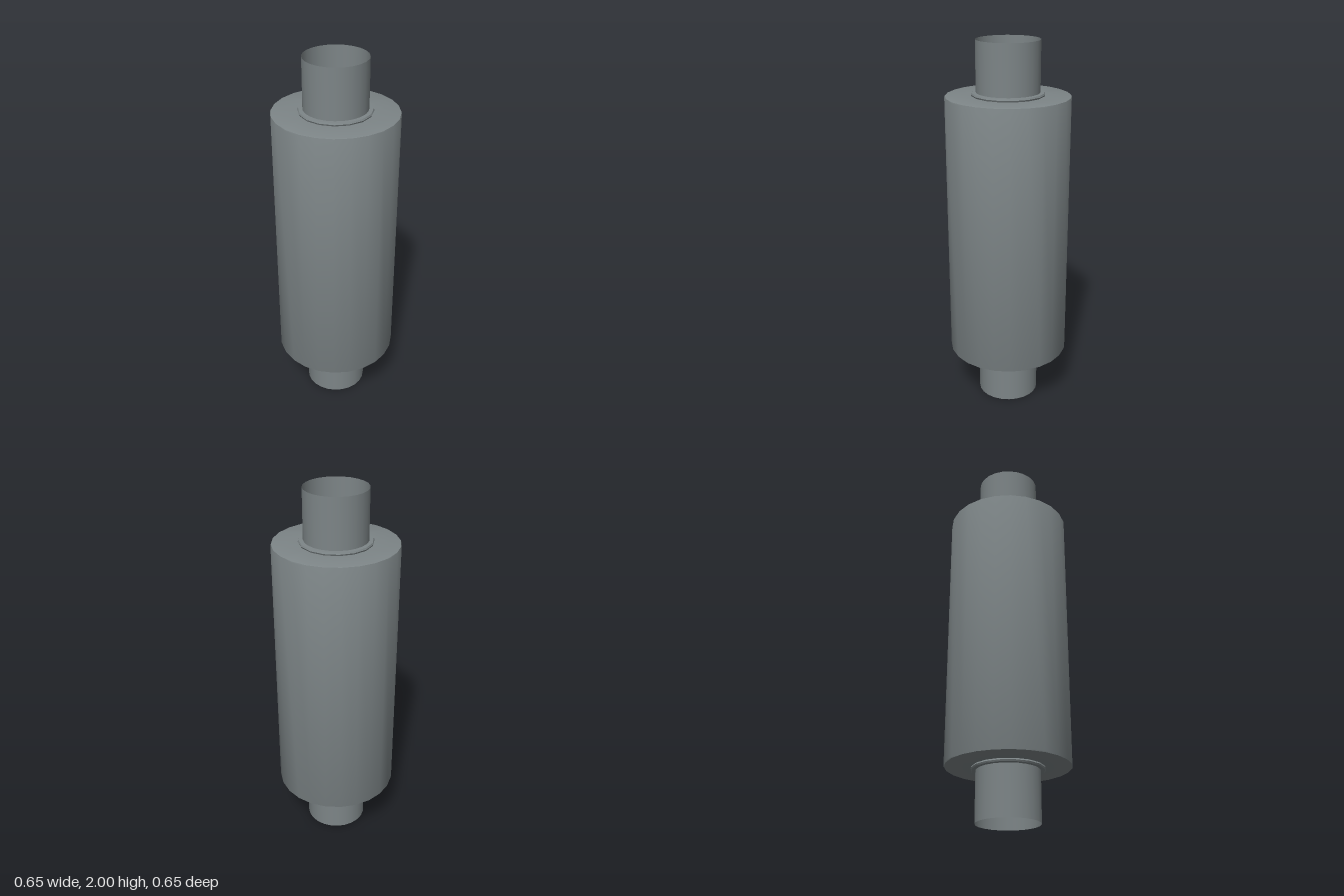
import * as THREE from 'three';
import { toCreasedNormals } from 'three/addons/utils/BufferGeometryUtils.js';

const steel = new THREE.MeshStandardMaterial({ color: 0x7d8587, side: THREE.DoubleSide });
steel.name = 'grey steel';

const PIPE_R = 0.166;
const SHELL_R = 0.327;
const MID = 1; // height of the mirror plane

// Turned part from [radius, y] pairs, running from bottom to top
function turned(name, profile, sides) {
  const points = profile.map(([r, y]) => new THREE.Vector2(r, y));
  const mesh = new THREE.Mesh(toCreasedNormals(new THREE.LatheGeometry(points, sides), 0.6), steel);
  mesh.name = name;
  return mesh;
}

export function createModel() {
  const model = new THREE.Group();
  model.name = 'muffler';

  // Open pipe running right through
  model.add(turned('pipe', [[PIPE_R, 0], [PIPE_R, 2]], 24));

  // Canister with flat ends and a small rounded rim
  model.add(turned('canister', [
    [PIPE_R, 0.281], [SHELL_R - 0.007, 0.281], [SHELL_R - 0.002, 0.283], [SHELL_R, 0.289],
    [SHELL_R, 1.711], [SHELL_R - 0.002, 1.717], [SHELL_R - 0.007, 1.719], [PIPE_R, 1.719],
  ], 24));

  // Weld bead around the pipe at each end, mirrored about the middle
  const bead = [[0.188, 1.719], [0.192, 1.727], [0.188, 1.735], [PIPE_R, 1.736]];
  model.add(turned('topCollar', bead, 16));
  model.add(turned('bottomCollar', bead.map(([r, y]) => [r, 2 * MID - y]).reverse(), 16));

  return model;
}
